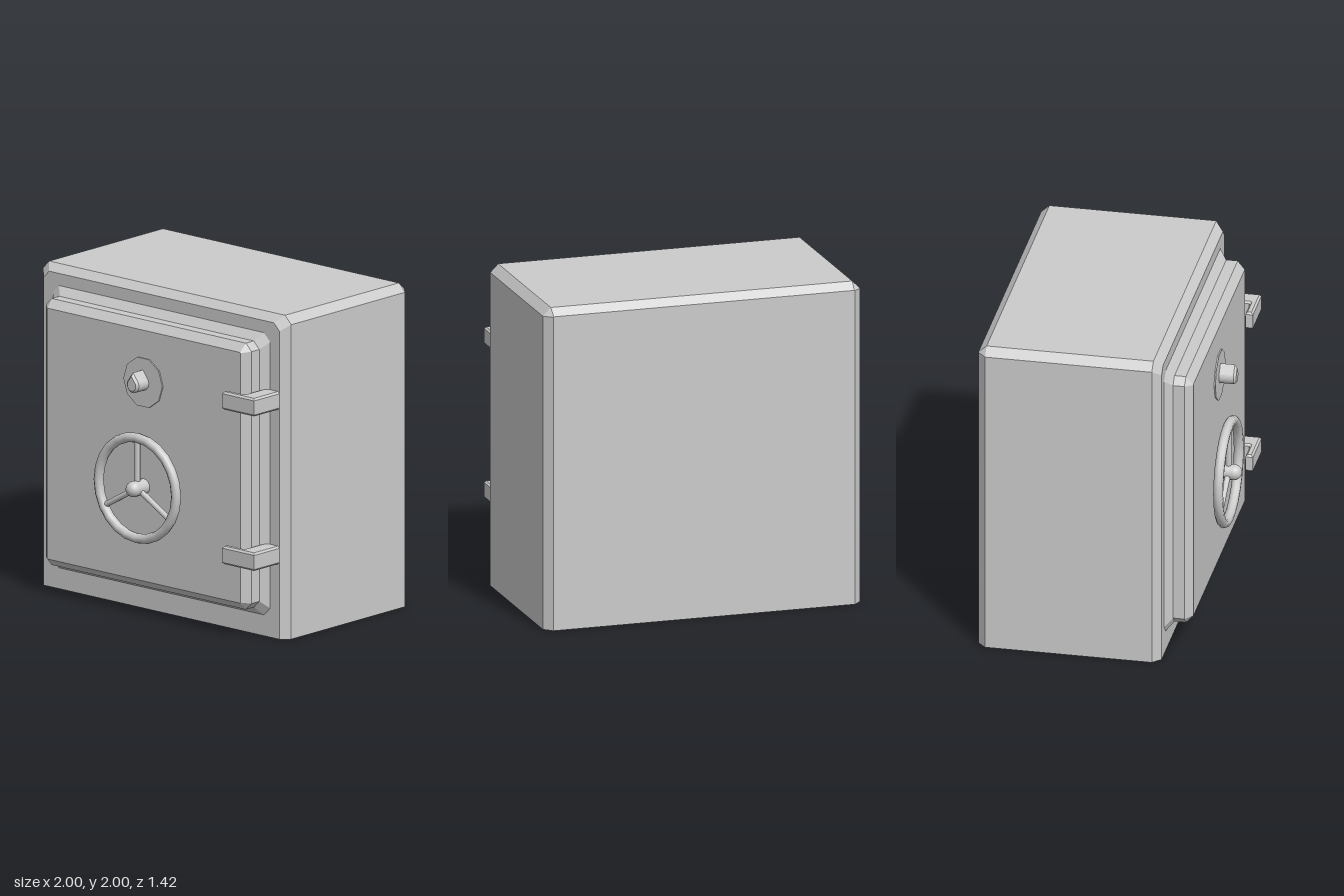
import * as THREE from 'three';

const flat = new THREE.MeshStandardMaterial({ color: 0xcccccc, flatShading: true, side: THREE.DoubleSide });
const smooth = new THREE.MeshStandardMaterial({ color: 0xcccccc, side: THREE.DoubleSide });

function add(parent, name, geometry, material = flat) {
  const mesh = new THREE.Mesh(geometry, material);
  mesh.name = name;
  parent.add(mesh);
  return mesh;
}

// Rectangle of half width w from y0 to y1, with its top and bottom corners cut
function outline(w, y0, y1, top, bottom = top) {
  return [
    [-w, y0 + bottom], [-w, y1 - top], [-w + top, y1], [w - top, y1],
    [w, y1 - top], [w, y0 + bottom], [w - bottom, y0], [-w + bottom, y0],
  ].map(([x, y]) => new THREE.Vector2(x, y));
}

// Skin joining rings { z, pts }, listed from front to back
function skin(rings, closed) {
  const positions = [];
  const n = rings[0].pts.length;
  for (let i = 0; i + 1 < rings.length; i++) {
    for (let j = 0; j < (closed ? n : n - 1); j++) {
      const k = (j + 1) % n;
      const corner = (r, p) => [rings[r].pts[p].x, rings[r].pts[p].y, rings[r].z];
      const a = corner(i, j), b = corner(i, k), c = corner(i + 1, k), d = corner(i + 1, j);
      positions.push(...a, ...b, ...c, ...a, ...c, ...d);
    }
  }
  const geometry = new THREE.BufferGeometry();
  geometry.setAttribute('position', new THREE.Float32BufferAttribute(positions, 3));
  geometry.computeVertexNormals();
  return geometry;
}

// Hollow cabinet with bevelled edges and an open underside
function makeCabinet() {
  const cabinet = new THREE.Group();
  cabinet.name = 'cabinet';
  const ring = (z, w, h, cut) => ({ z, pts: outline(w, 0, h, cut, 0).slice(0, 6) });
  add(cabinet, 'cabinetWalls', skin([
    ring(0.41, 0.95, 1.955, 0.045), ring(0.36, 1, 2, 0.05),
    ring(-0.66, 1, 2, 0.05), ring(-0.71, 0.95, 1.955, 0.003),
  ], false));
  const front = new THREE.Shape(outline(0.95, 0, 1.955, 0.045, 0).slice(0, 6));
  front.holes.push(new THREE.Path(outline(0.875, 0.13, 1.88, 0.05)));
  add(cabinet, 'frontFrame', new THREE.ShapeGeometry(front).translate(0, 0, 0.41));
  const back = new THREE.Shape(outline(0.95, 0, 1.955, 0.003, 0).slice(0, 6));
  add(cabinet, 'backPanel', new THREE.ShapeGeometry(back).rotateY(Math.PI).translate(0, 0, -0.71));
  return cabinet;
}

// Raised door with a sloped surround and bevelled front edge
function makeDoor() {
  const door = new THREE.Group();
  door.name = 'door';
  const panel = outline(0.78, 0.225, 1.78, 0.004);
  const side = outline(0.828, 0.178, 1.83, 0.045);
  add(door, 'doorEdges', skin([
    { z: 0.57, pts: panel }, { z: 0.525, pts: side }, { z: 0.455, pts: side },
    { z: 0.41, pts: outline(0.875, 0.13, 1.88, 0.05) },
  ], true));
  add(door, 'doorPanel', new THREE.ShapeGeometry(new THREE.Shape(panel)).translate(0, 0, 0.57));
  return door;
}

// Three-spoked wheel on a round hub
function makeWheel() {
  const wheel = new THREE.Group();
  wheel.name = 'handWheel';
  add(wheel, 'wheelRim', new THREE.TorusGeometry(0.312, 0.03, 10, 24), smooth).position.z = 0.627;
  const neck = new THREE.CylinderGeometry(0.048, 0.048, 0.095, 16, 1, true).rotateX(Math.PI / 2);
  add(wheel, 'hubNeck', neck, smooth).position.z = 0.6125;
  const knob = new THREE.SphereGeometry(0.049, 16, 6, 0, Math.PI * 2, 0, Math.PI / 2).rotateX(Math.PI / 2);
  add(wheel, 'hubKnob', knob, smooth).position.z = 0.66;
  for (let i = 0; i < 3; i++) {
    const spoke = add(wheel, 'spoke', new THREE.CylinderGeometry(0.018, 0.018, 0.3, 10).translate(0, 0.15, 0), smooth);
    spoke.position.z = 0.627;
    spoke.rotation.z = i * Math.PI * 2 / 3;
  }
  wheel.position.y = 0.813;
  return wheel;
}

// Ten-sided dial plate with a teardrop pointer knob
function makeDial() {
  const dial = new THREE.Group();
  dial.name = 'dial';
  const plate = new THREE.CylinderGeometry(0.157, 0.157, 0.008, 10).rotateX(Math.PI / 2).rotateZ(Math.PI / 2);
  add(dial, 'dialPlate', plate).position.z = 0.574;
  const drop = new THREE.Shape();
  drop.absarc(0, 0, 0.034, Math.PI * 0.8, Math.PI * 2.2, false);
  drop.lineTo(0, 0.058);
  drop.closePath();
  add(dial, 'pointerKnob', new THREE.ExtrudeGeometry(drop, {
    depth: 0.09, curveSegments: 14, bevelSize: 0.014, bevelThickness: 0.014, bevelSegments: 1,
  })).position.z = 0.576;
  dial.position.y = 1.458;
  return dial;
}

// L-shaped hinge wrapping from the frame over the door
function makeHinge(y) {
  const b = 0.012;
  const bracket = new THREE.Shape([
    [0.95 - b, 0.41], [0.95 - b, 0.637 - b], [0.69 + b, 0.637 - b], [0.69 + b, 0.59 + b],
    [0.82 + b, 0.59 + b], [0.832 + b, 0.578 + b], [0.832 + b, 0.41],
  ].map(([x, z]) => new THREE.Vector2(x, z)));
  const geometry = new THREE.ExtrudeGeometry(bracket, {
    depth: 0.112 - 2 * b, bevelSize: b, bevelThickness: b, bevelSegments: 1,
  }).translate(0, 0, b - 0.056).rotateX(Math.PI / 2);
  const hinge = new THREE.Mesh(geometry, flat);
  hinge.name = 'hinge';
  hinge.position.y = y;
  return hinge;
}

export function createModel() {
  const model = new THREE.Group();
  model.name = 'safe';
  model.add(makeCabinet(), makeDoor(), makeWheel(), makeDial(), makeHinge(1.479), makeHinge(0.521));
  return model;
}
